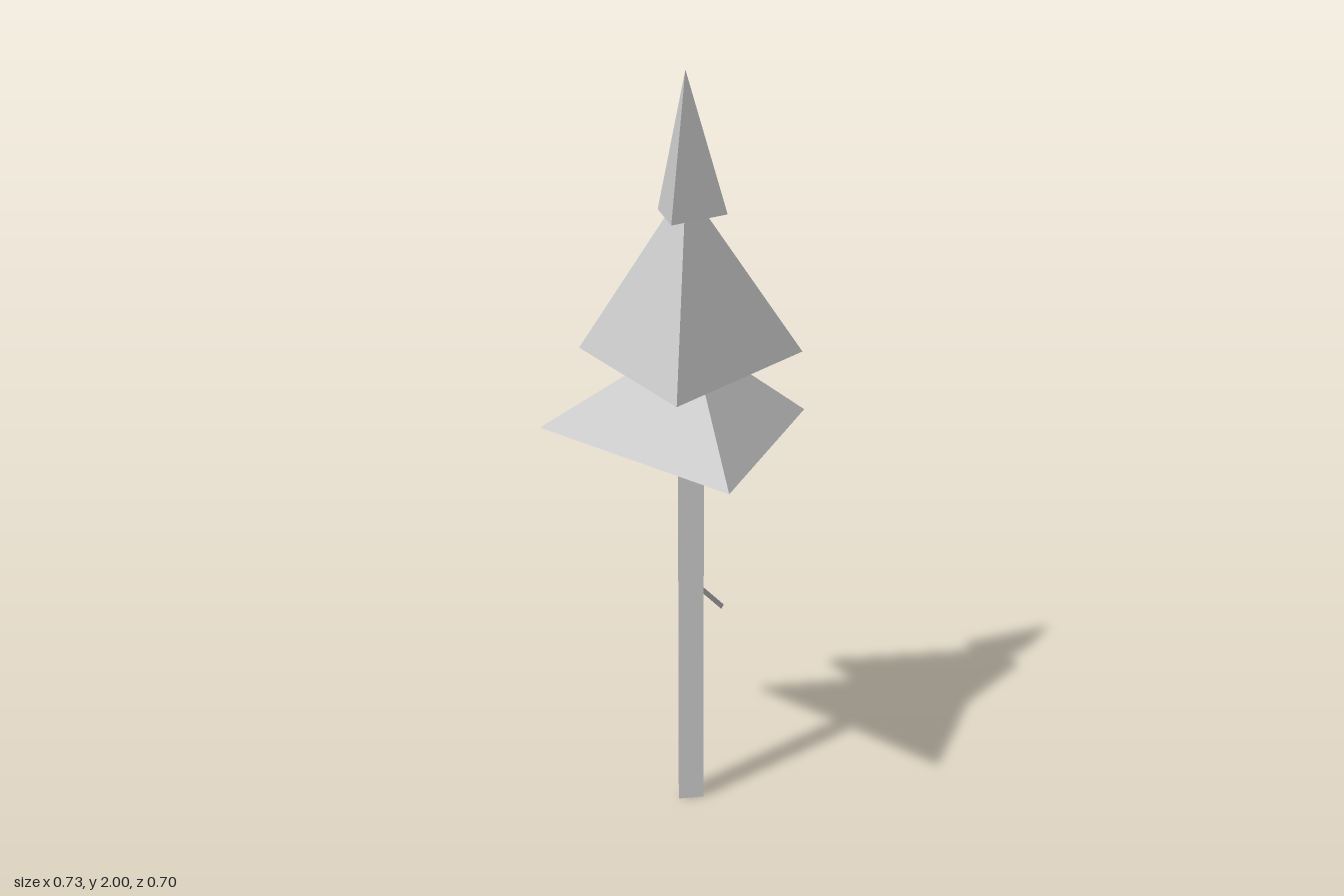
import * as THREE from 'three';

export function createModel() {
  const tree = new THREE.Group();
  tree.name = 'tree';

  const paleGrey = new THREE.MeshStandardMaterial({
    color: 0xcccccc, side: THREE.DoubleSide, flatShading: true,
  });
  paleGrey.name = 'paleGrey';

  const add = (name, geometry) => {
    const mesh = new THREE.Mesh(geometry, paleGrey);
    mesh.name = name;
    tree.add(mesh);
    return mesh;
  };

  // Foliage: open three-sided cones, each turned differently
  const tiers = [
    { name: 'lowerFoliage', radius: 0.422, base: 1.03, tip: 1.32, x: 0.004, z: -0.075, turn: 1 },
    { name: 'middleFoliage', radius: 0.345, base: 1.225, tip: 1.708, x: -0.003, z: -0.103, turn: -15.6 },
    { name: 'topFoliage', radius: 0.11, base: 1.625, tip: 2, x: -0.002, z: -0.112, turn: 89.2 },
  ];
  for (const t of tiers) {
    const cone = add(t.name, new THREE.ConeGeometry(t.radius, t.tip - t.base, 3, 1, true));
    cone.position.set(t.x, (t.base + t.tip) / 2, t.z);
    cone.rotation.y = THREE.MathUtils.degToRad(t.turn);
  }

  // Trunk: open three-sided tube
  const trunk = add('trunk', new THREE.CylinderGeometry(0.04, 0.04, 1.1, 3, 1, true));
  trunk.position.set(0.004, 0.55, -0.094);
  trunk.rotation.y = THREE.MathUtils.degToRad(59);

  // Broken branch: thin tube slanting down and back from the trunk
  const start = new THREE.Vector3(0.008, 0.635, -0.088);
  const end = new THREE.Vector3(0.117, 0.505, -0.208);
  const along = end.clone().sub(start);
  const branch = add('branch', new THREE.CylinderGeometry(0.008, 0.008, along.length(), 3, 1, true));
  branch.position.copy(start).add(end).multiplyScalar(0.5);
  branch.quaternion.setFromUnitVectors(new THREE.Vector3(0, 1, 0), along.normalize());

  return tree;
}
